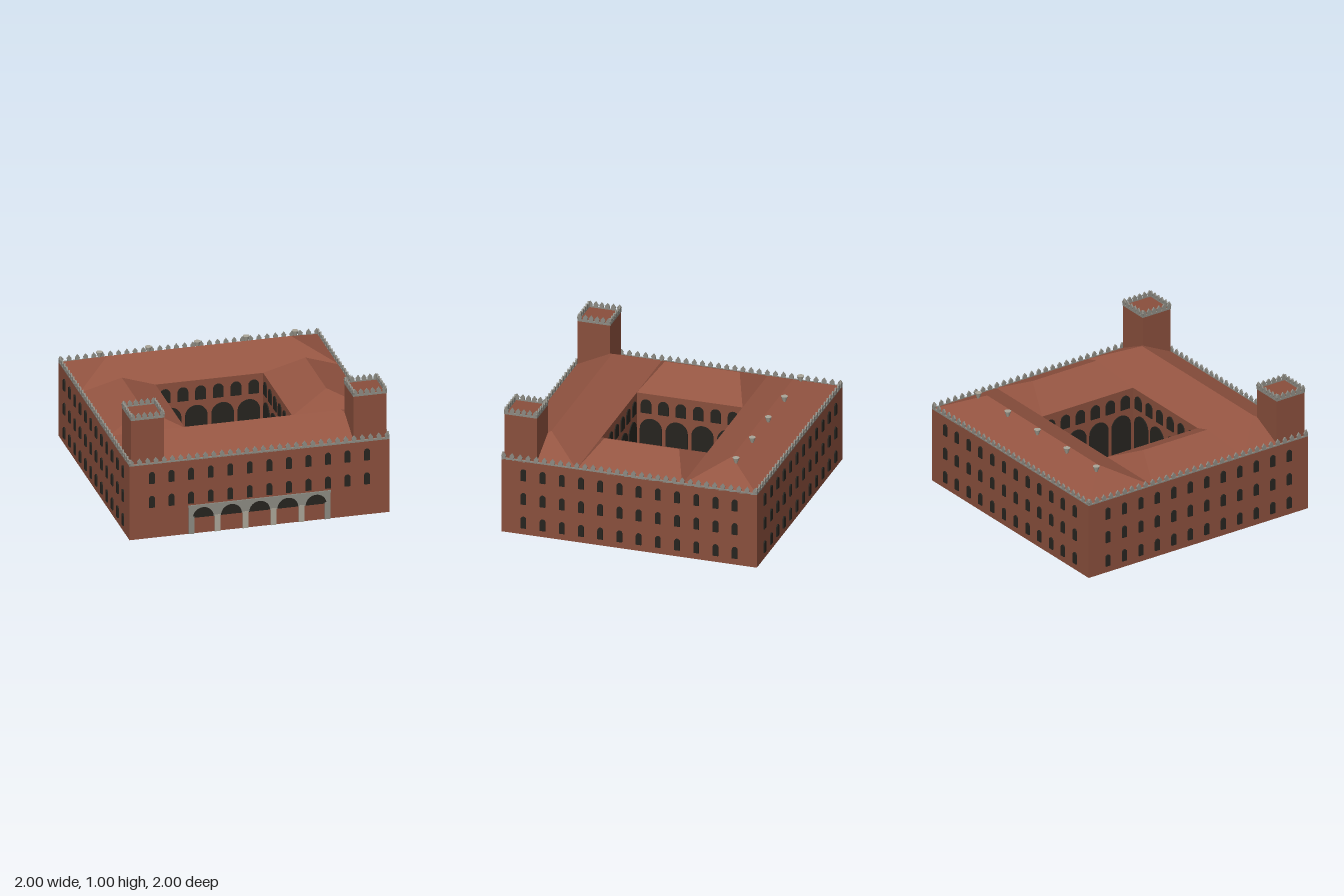
import * as THREE from 'three';
import { mergeGeometries } from 'three/addons/utils/BufferGeometryUtils.js';

const material = (color) => new THREE.MeshStandardMaterial({ color, flatShading: true, side: THREE.DoubleSide });
const brick = material(0x8a4f3c), tile = material(0x955542), dark = material(0x26241f);
const stone = material(0x8c8a82), paleStone = material(0xaaa598), paving = material(0x7d7a72);

const OUT = 0.99, INN = 0.41, EAVE = 0.59, RIDGE = 0.73;

function add(parent, name, geometry, mat, x = 0, y = 0, z = 0) {
  const mesh = new THREE.Mesh(geometry, mat);
  mesh.name = name;
  mesh.position.set(x, y, z);
  parent.add(mesh);
  return mesh;
}

// Box given by its lower and upper corners
function block(parent, name, mat, [x0, y0, z0], [x1, y1, z1]) {
  return add(parent, name, new THREE.BoxGeometry(x1 - x0, y1 - y0, z1 - z0), mat,
    (x0 + x1) / 2, (y0 + y1) / 2, (z0 + z1) / 2);
}

// Round-headed panel standing on y = 0 and centred on x = 0
function archPanel(width, height, depth) {
  const r = width / 2, s = new THREE.Shape();
  s.moveTo(-r, 0);
  s.lineTo(r, 0);
  s.lineTo(r, height - r);
  s.absarc(0, height - r, r, 0, Math.PI, false);
  s.closePath();
  return new THREE.ExtrudeGeometry(s, { depth, bevelEnabled: false, curveSegments: 10 });
}

// Copies of a geometry in an evenly spaced row along x
function row(geometry, count, spacing, y, z) {
  return Array.from({ length: count }, (_, i) =>
    geometry.clone().translate((i - (count - 1) / 2) * spacing, y, z));
}

// Hip roof over a rectangle, ridge along x or z
function hipRoof(hx, hz, ridgeX, ridgeZ, height) {
  const a = [-hx, 0, hz], b = [hx, 0, hz], c = [hx, 0, -hz], d = [-hx, 0, -hz];
  const p = [-ridgeX, height, ridgeZ], q = [ridgeX, height, -ridgeZ];
  const quads = ridgeX > 0
    ? [a, b, q, a, q, p, c, d, p, c, p, q, b, c, q, d, a, p]
    : [b, c, q, b, q, p, d, a, p, d, p, q, a, b, p, c, d, q];
  const g = new THREE.BufferGeometry();
  g.setAttribute('position', new THREE.Float32BufferAttribute(quads.flat(), 3));
  g.computeVertexNormals();
  return g;
}

// Pointed merlon, standing on y = 0
function merlon(width, height, depth) {
  const w = width / 2, s = new THREE.Shape();
  s.moveTo(-w * 0.75, 0);
  s.lineTo(w * 0.75, 0);
  s.lineTo(w, height * 0.55);
  s.lineTo(0, height);
  s.lineTo(-w, height * 0.55);
  s.closePath();
  return new THREE.ExtrudeGeometry(s, { depth, bevelEnabled: false });
}

// Square ring of battlements on a low stone course
function battlements(name, half, count) {
  const group = new THREE.Group();
  group.name = name;
  const course = new THREE.BoxGeometry(half * 2, 0.014, 0.012).toNonIndexed().translate(0, 0.002, half - 0.006);
  const teeth = row(merlon(0.036, 0.052, 0.012), count, (half * 2 - 0.03) / (count - 1), 0, half - 0.012);
  const side = mergeGeometries([course, ...teeth]);
  for (let i = 0; i < 4; i++) add(group, 'battlementSide', side, stone).rotation.y = i * Math.PI / 2;
  return group;
}

export function createModel() {
  const model = new THREE.Group();
  model.name = 'courtyardPalace';

  // Four wings around the court, each with its hip roof
  for (const s of [-1, 1]) {
    const end = s > 0 ? 'front' : 'back', flank = s > 0 ? 'left' : 'right', mid = s * (OUT + INN) / 2;
    const half = (OUT - INN) / 2;
    add(model, end + 'Wing', new THREE.BoxGeometry(OUT * 2, EAVE, half * 2), brick, 0, EAVE / 2, mid);
    add(model, flank + 'Wing', new THREE.BoxGeometry(half * 2, EAVE, INN * 2), brick, mid, EAVE / 2, 0);
    add(model, end + 'Roof', hipRoof(OUT, half, 0.7, 0, RIDGE - EAVE), tile, 0, EAVE + 0.001, mid);
    add(model, flank + 'Roof', hipRoof(half, INN, 0, 0.29, RIDGE - EAVE), tile, mid, EAVE + 0.001, 0);
  }
  block(model, 'courtyardFloor', paving, [-INN, 0, -INN], [INN, 0.012, INN]);

  // Outer windows: three storeys, the front without its ground storey
  const windowPanel = archPanel(0.042, 0.092, 0.02);
  for (let i = 0; i < 4; i++) {
    const storeys = i === 0 ? [0.245, 0.437] : [0.052, 0.245, 0.437];
    const panes = storeys.flatMap((y) => row(windowPanel, 12, 0.149, y, 0.98));
    add(model, 'outerWindows', mergeGeometries(panes), dark).rotation.y = i * Math.PI / 2;
  }

  // Court walls: tall arcade below, small windows above
  const court = mergeGeometries([
    ...row(archPanel(0.17, 0.38, 0.016), 4, 0.2, 0.012, -INN - 0.008),
    ...row(archPanel(0.08, 0.11, 0.016), 6, 0.135, 0.435, -INN - 0.008),
  ]);
  for (let i = 0; i < 4; i++) {
    add(model, 'courtArcade', court, dark).rotation.y = i * Math.PI / 2;
    const x = i % 2 ? 0.39 : -0.39, z = i < 2 ? 0.39 : -0.39;
    add(model, 'courtCornerPost', new THREE.BoxGeometry(0.04, 0.03, 0.04), stone, x, 0.015, z);
  }

  // Entrance portico: stone band pierced by round arches, on pillars
  const portico = new THREE.Group();
  portico.name = 'portico';
  model.add(portico);
  const band = new THREE.Shape();
  band.moveTo(-0.54, 0.125);
  for (let i = -2; i <= 2; i++) {
    band.lineTo(i * 0.215 - 0.08, 0.125);
    band.absarc(i * 0.215, 0.125, 0.08, Math.PI, 0, true);
  }
  band.lineTo(0.54, 0.125);
  band.lineTo(0.54, 0.225);
  band.lineTo(-0.54, 0.225);
  add(portico, 'archBand', new THREE.ExtrudeGeometry(band, { depth: 0.02, bevelEnabled: false, curveSegments: 14 }),
    stone, 0, 0, 0.978);
  block(portico, 'cornice', stone, [-0.543, 0.212, 0.98], [0.543, 0.227, 1]);
  for (let i = -2; i <= 2; i++) {
    const fan = new THREE.CircleGeometry(0.08, 20, 0, Math.PI);
    add(portico, 'archOpening', fan, dark, i * 0.215, 0.125, 0.994);
  }
  for (let i = 0; i < 6; i++) {
    const x = (i - 2.5) * 0.2135 + (i === 0 ? 0.016 : i === 5 ? -0.016 : 0);
    const isEnd = i === 0 || i === 5;
    block(portico, 'pillar', isEnd ? stone : paleStone, [x - 0.022, 0, 0.98], [x + 0.022, 0.135, 0.999]);
  }

  // Battlements around the whole building
  const parapet = battlements('parapet', OUT, 32);
  parapet.position.y = EAVE;
  model.add(parapet);

  // Two square front towers
  for (const s of [-1, 1]) {
    const tower = new THREE.Group();
    tower.name = s > 0 ? 'leftTower' : 'rightTower';
    tower.position.set(s * 0.847, 0, 0.847);
    block(tower, 'towerShaft', brick, [-0.126, EAVE - 0.02, -0.126], [0.126, 0.955, 0.126]);
    const crown = battlements('towerBattlements', 0.128, 6);
    crown.position.y = 0.953;
    tower.add(crown);
    model.add(tower);
  }

  // Flared chimneys along the back roof
  for (let i = -2; i <= 2; i++) {
    add(model, 'chimney', new THREE.CylinderGeometry(0.026, 0.008, 0.05, 12), paleStone, i * 0.373, 0.725, -0.747);
  }
  return model;
}
